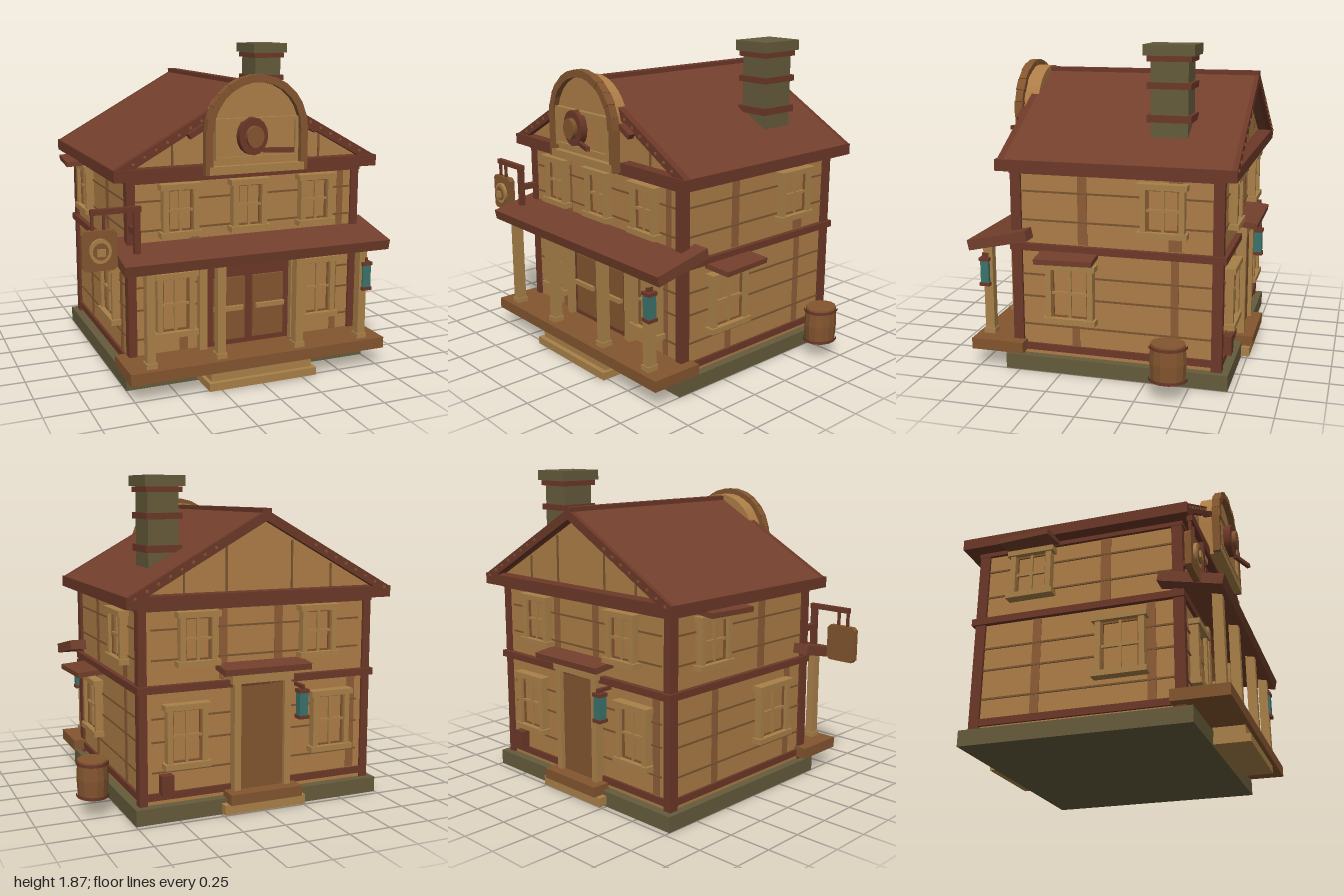
import * as THREE from 'three';

const mat = (name, color) => {
  const m = new THREE.MeshStandardMaterial({ color });
  m.name = name;
  return m;
};

export function createModel() {
  const M = {
    wall: mat('wall tan', 0xad7d47), frame: mat('frame tan', 0xa98048), streak: mat('weathered plank', 0x8d5d36),
    trim: mat('trim brown', 0x6c3828), roof: mat('roof brown', 0x733f2c), stone: mat('stone olive', 0x655b3b),
    wood: mat('door brown', 0x83552f), groove: mat('groove brown', 0x7a5530), glass: mat('lantern teal', 0x3c726b),
  };
  const root = new THREE.Group();
  root.name = 'house';
  const add = (p, name, geo, m, x = 0, y = 0, z = 0) => {
    const o = new THREE.Mesh(geo, m);
    o.name = name;
    o.position.set(x, y, z);
    p.add(o);
    return o;
  };
  const box = (p, name, m, w, h, d, x, y, z) => add(p, name, new THREE.BoxGeometry(w, h, d), m, x, y, z);
  // box given by its limits on each axis
  const span = (p, name, m, x0, x1, y0, y1, z0, z1) =>
    box(p, name, m, x1 - x0, y1 - y0, z1 - z0, (x0 + x1) / 2, (y0 + y1) / 2, (z0 + z1) / 2);
  const group = (p, name, x = 0, y = 0, z = 0, ry = 0) => {
    const g = new THREE.Group();
    g.name = name;
    g.position.set(x, y, z);
    g.rotation.y = ry;
    p.add(g);
    return g;
  };

  // Foundation, body and trim
  span(root, 'foundation', M.stone, -0.75, 0.75, 0, 0.09, -0.715, 0.585);
  span(root, 'walls', M.wall, -0.7, 0.7, 0.09, 1.2, -0.66, 0.53);
  span(root, 'baseTrim', M.trim, -0.715, 0.715, 0.115, 0.155, -0.675, 0.545);
  span(root, 'floorBelt', M.trim, -0.73, 0.73, 0.715, 0.755, -0.695, 0.55);
  span(root, 'topBelt', M.trim, -0.72, 0.72, 1.155, 1.185, -0.68, 0.55);
  for (const x of [-0.693, 0.693]) for (const z of [-0.645, 0.515])
    span(root, 'cornerPost', M.trim, x - 0.024, x + 0.024, 0.09, 1.18, z - 0.03, z + 0.03);

  // Wall sides: local x runs right as seen from outside, local z points outward
  const sides = {
    front: group(root, 'frontWall', 0, 0, 0.53, 0),
    back: group(root, 'backWall', 0, 0, -0.66, Math.PI),
    left: group(root, 'leftWall', 0.7, 0, 0, Math.PI / 2),
    right: group(root, 'rightWall', -0.7, 0, 0, -Math.PI / 2),
  };
  const boards = (g, x0, x1, streaks) => {
    for (const y of [0.27, 0.44, 0.57, 0.89, 1.055]) span(g, 'boardSeam', M.groove, x0, x1, y - 0.005, y + 0.005, 0, 0.007);
    for (const [x, w, y0, y1] of streaks) span(g, 'weatheredPlank', M.streak, x - w / 2, x + w / 2, y0, y1, 0, 0.004);
  };
  boards(sides.front, -0.67, 0.67, [[-0.39, 0.05, 0.16, 0.72], [0.57, 0.04, 0.16, 0.72], [-0.32, 0.05, 0.76, 1.16], [0.6, 0.04, 0.76, 1.16]]);
  boards(sides.back, -0.64, 0.64, [[-0.22, 0.05, 0.76, 1.16], [0.6, 0.05, 0.16, 0.72], [0.12, 0.05, 0.76, 1.16]]);
  boards(sides.left, -0.49, 0.62, [[-0.125, 0.055, 0.76, 1.16], [0.405, 0.075, 0.76, 1.16], [-0.17, 0.045, 0.155, 0.715], [0.405, 0.045, 0.155, 0.715]]);
  boards(sides.right, -0.62, 0.49, [[0.1, 0.06, 0.76, 1.16], [0.36, 0.05, 0.155, 0.715], [-0.3, 0.05, 0.155, 0.715]]);

  // Windows
  const window_ = (side, x, y, w, h) => {
    const g = group(sides[side], 'window', x, y, 0);
    const t = 0.032;
    box(g, 'windowPane', M.wall, w - t, h - t, 0.02, 0, 0, 0.01);
    for (const s of [-1, 1]) box(g, 'windowJamb', M.frame, t, h, 0.05, s * (w / 2 - t), 0, 0.025);
    for (const s of [-1, 1]) box(g, 'windowRail', M.frame, w, t, 0.062, 0, s * (h / 2 - t / 2), 0.031);
    for (const s of [-1, 1]) {
      box(g, 'sashStile', M.wood, 0.012, h - 2 * t, 0.03, s * (w / 2 - t * 1.65), 0, 0.015);
      box(g, 'sashRail', M.wood, w - 3 * t, 0.012, 0.03, 0, s * (h / 2 - t * 1.15), 0.015);
    }
    box(g, 'mullion', M.frame, 0.016, h - 2 * t, 0.034, 0, 0, 0.017);
    box(g, 'mullion', M.frame, w - 3 * t, 0.016, 0.034, 0, 0, 0.017);
  };
  for (const x of [-0.415, 0, 0.425]) window_('front', x, 1.0, 0.24, 0.3);
  for (const x of [-0.447, 0.447]) {
    window_('front', x, 0.462, 0.255, 0.375);
    window_('back', x, 0.47, 0.27, 0.36);
  }
  for (const x of [-0.38, 0.36]) window_('back', x, 1.0, 0.25, 0.3);
  for (const [side, s] of [['left', 1], ['right', -1]]) {
    window_(side, s * 0.34, 0.992, 0.28, 0.3);
    window_(side, s * -0.195, 0.478, 0.31, 0.35);
  }

  // Window canopies, slightly askew
  const canopy = (side, x, y, w, d, yaw) => {
    const c = box(sides[side], 'canopy', M.roof, w, 0.03, d, x, y, d / 2);
    c.rotation.set(0.06, yaw, 0);
  };
  canopy('left', -0.195, 0.703, 0.33, 0.17, 0.06);
  canopy('right', -0.335, 1.17, 0.31, 0.16, -0.08);

  // Main roof: eave slab, gables, slopes, ridge and rakes
  span(root, 'eaveSlab', M.trim, -0.8, 0.8, 1.18, 1.245, -0.75, 0.6);
  const tri = new THREE.Shape([[-0.74, 1.24], [0.74, 1.24], [0, 1.65]].map(p => new THREE.Vector2(...p)));
  add(root, 'gable', new THREE.ExtrudeGeometry(tri, { depth: 1.19, bevelEnabled: false }), M.wall, 0, 0, -0.66);
  for (const x of [-0.45, -0.2, 0.2, 0.45]) {
    const top = 1.63 - Math.abs(x) * 0.56;
    span(root, 'gableSeam', M.groove, x - 0.005, x + 0.005, 1.24, top, -0.667, -0.66);
    span(root, 'gableSeam', M.groove, x - 0.005, x + 0.005, 1.24, top, 0.53, 0.537);
  }
  const band = (s, t, x0 = 0) => {
    const y = x => 1.685 - x * 0.557;
    return new THREE.Shape([[x0, y(x0)], [0.795, y(0.795)], [0.795, y(0.795) - t], [x0, y(x0) - t]]
      .map(([x, v]) => new THREE.Vector2(s * x, v)));
  };
  for (const s of [-1, 1]) {
    const slab = (name, m, t, z, depth, x0) =>
      add(root, name, new THREE.ExtrudeGeometry(band(s, t, x0), { depth, bevelEnabled: false }), m, 0, 0, z);
    slab('roofSlope', M.roof, 0.045, -0.725, 1.275);
    slab('frontRake', M.trim, 0.058, 0.55, 0.038, 0.22);
    slab('backRake', M.trim, 0.058, -0.75, 0.03);
    // Pegs along the rakes
    for (let i = 0; i < 8; i++) {
      const x = 0.3 + i * 0.065;
      for (const z of [0.59, -0.752]) box(root, 'rakePeg', M.wood, 0.014, 0.014, 0.01, s * x, 1.658 - x * 0.557, z);
    }
  }
  span(root, 'ridgeBeam', M.trim, -0.027, 0.027, 1.655, 1.695, -0.75, 0.59);

  // Chimney
  const ch = group(root, 'chimney', 0.483, 0, -0.337);
  box(ch, 'chimneyShaft', M.stone, 0.18, 0.48, 0.21, 0, 1.58, 0);
  box(ch, 'chimneyCap', M.stone, 0.235, 0.06, 0.285, 0, 1.842, 0);
  for (const [y, h] of [[1.795, 0.03], [1.65, 0.035], [1.47, 0.04]]) box(ch, 'chimneyBand', M.trim, 0.21, h, 0.25, 0, y, 0);

  // Arched false front
  const pd = group(root, 'archedFront');
  const arch = new THREE.Shape();
  arch.moveTo(-0.27, 1.2);
  arch.lineTo(0.27, 1.2);
  arch.lineTo(0.27, 1.435);
  arch.absarc(0, 1.435, 0.27, 0, Math.PI, false);
  arch.closePath();
  add(pd, 'archPanel', new THREE.ExtrudeGeometry(arch, { depth: 0.1, bevelEnabled: false, curveSegments: 10 }), M.wall, 0, 0, 0.54);
  const N = 13;
  for (let i = 0; i < N; i++) {
    const a = (i + 0.5) * Math.PI / N;
    const b = box(pd, 'archBlock', M.wood, 0.042, 0.071, i % 2 ? 0.046 : 0.052, Math.cos(a) * 0.28, 1.435 + Math.sin(a) * 0.28, 0.652);
    b.rotation.z = a;
  }
  for (const s of [-1, 1]) {
    box(pd, 'archLeg', M.wood, 0.042, 0.24, 0.045, s * 0.285, 1.32, 0.65);
    const brace = box(pd, 'archBrace', M.trim, 0.1, 0.03, 0.04, s * 0.34, 1.435, 0.61);
    brace.rotation.z = -s * 0.51;
  }
  span(pd, 'archSill', M.frame, -0.285, 0.285, 1.2, 1.245, 0.63, 0.675);
  span(pd, 'signBoard', M.wall, -0.235, 0.235, 1.29, 1.49, 0.64, 0.655);
  for (const y of [1.285, 1.495]) box(pd, 'signRail', M.frame, 0.49, 0.018, 0.03, 0, y, 0.655);
  for (const x of [-0.238, 0.238]) box(pd, 'signStile', M.frame, 0.018, 0.22, 0.03, x, 1.39, 0.655);
  const disc = (p, name, m, r, h, x, y, z, sy, n = 16) => {
    const d = add(p, name, new THREE.CylinderGeometry(r, r, h, n).rotateX(Math.PI / 2), m, x, y, z);
    d.scale.y = sy;
    return d;
  };
  disc(pd, 'lensRim', M.trim, 0.085, 0.045, -0.037, 1.405, 0.677, 1.22);
  disc(pd, 'lens', M.wood, 0.05, 0.03, -0.037, 1.405, 0.712, 1.2);
  const handle = box(pd, 'lensHandle', M.trim, 0.17, 0.025, 0.022, 0.1, 1.328, 0.722);
  handle.rotation.y = -0.35;

  // Porch deck, steps, roof and posts
  span(root, 'porchDeck', M.wood, -0.78, 0.78, 0.11, 0.175, 0.47, 0.785);
  span(root, 'upperStep', M.frame, -0.31, 0.31, 0.055, 0.11, 0.58, 0.76);
  span(root, 'lowerStep', M.frame, -0.33, 0.33, 0.01, 0.055, 0.58, 0.79);
  const pr = box(root, 'porchRoof', M.roof, 1.6, 0.06, 0.36, 0, 0.778, 0.602);
  pr.rotation.x = 0.215;
  for (const x of [-0.65, -0.24, 0.24, 0.65]) {
    span(root, 'porchPost', M.frame, x - 0.024, x + 0.024, 0.17, 0.74, 0.687, 0.743);
    box(root, 'postFoot', M.frame, 0.062, 0.03, 0.07, x, 0.19, 0.715);
  }

  // Front double door
  const fd = group(sides.front, 'frontDoor');
  span(fd, 'doorSurround', M.trim, -0.26, 0.26, 0.175, 0.72, 0, 0.02);
  for (const s of [-1, 1]) {
    box(fd, 'doorJamb', M.frame, 0.045, 0.54, 0.05, s * 0.285, 0.445, 0.025);
    box(fd, 'doorLeaf', M.wood, 0.195, 0.37, 0.03, s * 0.122, 0.395, 0.02);
    box(fd, 'doorBar', M.frame, 0.18, 0.027, 0.03, s * 0.13, 0.4, 0.04);
  }

  // Back door with canopy and steps
  const bd = group(sides.back, 'backDoor');
  span(bd, 'doorLeaf', M.wood, -0.14, 0.14, 0.12, 0.74, 0, 0.035);
  for (const s of [-1, 1]) box(bd, 'doorJamb', M.frame, 0.04, 0.66, 0.06, s * 0.155, 0.455, 0.03);
  span(bd, 'doorHeader', M.frame, -0.19, 0.19, 0.735, 0.785, 0, 0.065);
  box(bd, 'doorCanopy', M.roof, 0.53, 0.035, 0.14, 0, 0.825, 0.065).rotation.x = 0.12;
  span(bd, 'upperStep', M.wood, -0.22, 0.22, 0.065, 0.125, 0.01, 0.12);
  span(bd, 'lowerStep', M.frame, -0.25, 0.25, 0.01, 0.065, 0.01, 0.105);
  span(bd, 'wallCrate', M.trim, -0.6, -0.53, 0.15, 0.26, 0, 0.05);

  // Lanterns
  const lantern = (x, y, z) => {
    const g = group(root, 'lantern', x, y, z);
    box(g, 'lanternGlass', M.glass, 0.052, 0.13, 0.05, 0, 0, 0);
    box(g, 'lanternCap', M.trim, 0.062, 0.02, 0.062, 0, 0.075, 0);
    box(g, 'lanternBase', M.trim, 0.062, 0.02, 0.062, 0, -0.075, 0);
    box(g, 'lanternHook', M.trim, 0.015, 0.03, 0.04, 0, 0.095, 0);
  };
  lantern(0.67, 0.555, 0.73);
  lantern(-0.235, 0.595, -0.74);
  box(root, 'lanternArm', M.trim, 0.02, 0.02, 0.09, -0.235, 0.695, -0.7);

  // Hanging sign
  const hs = group(root, 'hangingSign', 0, 0, 0.645);
  span(hs, 'signArm', M.trim, -0.945, -0.67, 1.03, 1.06, -0.015, 0.015);
  span(hs, 'signBracket', M.trim, -0.71, -0.675, 0.8, 1.06, -0.015, 0.015);
  span(hs, 'bracketTie', M.trim, -0.71, -0.675, 0.9, 0.935, -0.12, 0);
  for (const x of [-0.935, -0.872]) span(hs, 'signRod', M.trim, x - 0.007, x + 0.007, 0.94, 1.035, -0.008, 0.008);
  const c = 0.018;
  const plate = new THREE.Shape([[-0.997 + c, 0.73], [-0.805 - c, 0.73], [-0.805, 0.73 + c], [-0.805, 0.948 - c],
    [-0.805 - c, 0.948], [-0.997 + c, 0.948], [-0.997, 0.948 - c], [-0.997, 0.73 + c]].map(p => new THREE.Vector2(...p)));
  add(hs, 'signPlate', new THREE.ExtrudeGeometry(plate, { depth: 0.035, bevelEnabled: false }), M.wood, 0, 0, -0.018);
  disc(hs, 'signRing', M.frame, 0.06, 0.025, -0.9, 0.84, 0.022, 1.12);
  disc(hs, 'signBoss', M.wood, 0.042, 0.02, -0.9, 0.84, 0.03, 1.1);
  box(hs, 'signMark', M.frame, 0.045, 0.04, 0.02, -0.9, 0.835, 0.04);

  // Barrel
  const br = group(root, 'barrel', 0.905, 0.21, -0.415);
  br.scale.z = 1.18;
  const body = [[0, -0.105], [0.082, -0.105], [0.088, 0], [0.082, 0.105], [0, 0.105]].map(p => new THREE.Vector2(...p));
  const staves = new THREE.LatheGeometry(body, 14).toNonIndexed();
  staves.computeVertexNormals();
  add(br, 'barrelBody', staves, M.wood);
  for (const y of [-0.095, 0.09]) add(br, 'barrelHoop', new THREE.CylinderGeometry(0.092, 0.092, 0.018, 14, 1, true), M.trim, 0, y, 0);
  return root;
}
